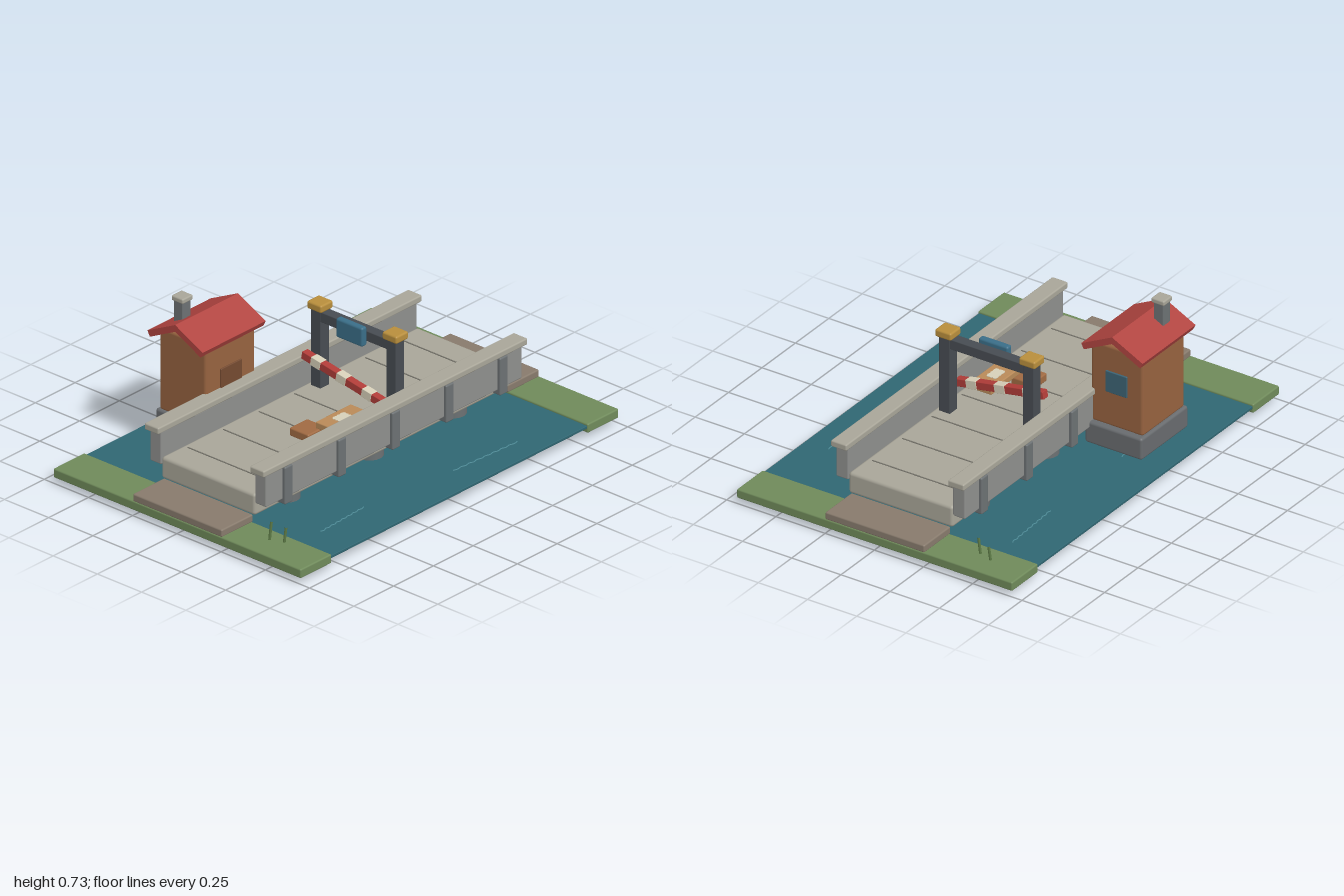
import * as THREE from 'three';
import { RoundedBoxGeometry } from 'three/addons/geometries/RoundedBoxGeometry.js';

const colors = {
  stone: 0xa8a598, wall: 0x8e8f8d, pillar: 0x6c7173, base: 0x686b6e, dark: 0x474c52, joint: 0x77756c,
  earth: 0x877a6c, grass: 0x6f8a5a, water: 0x2f6672, ripple: 0x4d8c98, gold: 0xb88e3c, blue: 0x3a6e88,
  glass: 0x3c6374, red: 0xb03c38, cream: 0xd6cfb8, roof: 0xb04440, wood: 0x96623f, door: 0x744a30,
  crate: 0xa06a42, plank: 0xb98a58, reed: 0x5f7d48,
};
const materials = {};
const mat = (c) => (materials[c] ??= new THREE.MeshStandardMaterial({ color: colors[c] }));

function add(parent, name, geometry, color) {
  const mesh = new THREE.Mesh(geometry, mat(color));
  mesh.name = name;
  parent.add(mesh);
  return mesh;
}

// Softly bevelled box given by its extents on each axis
function block(parent, name, color, [x0, x1], [y0, y1], [z0, z1], radius = 0.007) {
  const size = [x1 - x0, y1 - y0, z1 - z0];
  const r = Math.min(radius, Math.min(...size) * 0.3);
  const mesh = add(parent, name, new RoundedBoxGeometry(...size, 2, r), color);
  mesh.position.set((x0 + x1) / 2, (y0 + y1) / 2, (z0 + z1) / 2);
  return mesh;
}

function group(parent, name) {
  const g = new THREE.Group();
  g.name = name;
  parent.add(g);
  return g;
}

// Thin straight stalk between two points
function stalk(parent, name, color, from, to, radius) {
  const curve = new THREE.LineCurve3(new THREE.Vector3(...from), new THREE.Vector3(...to));
  return add(parent, name, new THREE.TubeGeometry(curve, 1, radius, 6), color);
}

function buildRiver(root) {
  const river = group(root, 'river');
  block(river, 'water', 'water', [-0.93, 0.93], [0.046, 0.06], [-0.695, 0.695], 0.003);
  for (const s of [-1, 1]) {
    const span = (a, b) => (s > 0 ? [a, b] : [-b, -a]);
    block(river, 'bank', 'grass', span(0.805, 1), [0.026, 0.069], [-0.7, 0.7]);
    block(river, 'approachRoad', 'earth', span(0.8, 0.998), [0.066, 0.102], [-0.252, 0.252]);
  }
  // Ripples: start x, z and end x, z
  for (const [x0, z0, x1, z1] of [[-0.67, 0.517, -0.38, 0.5], [0.12, 0.555, 0.5, 0.577],
    [0.4, -0.485, 0.71, -0.502], [-0.45, -0.47, -0.14, -0.48]]) {
    const pts = [];
    for (let i = 0; i <= 16; i++) {
      const t = i / 16;
      pts.push(new THREE.Vector3(x0 + (x1 - x0) * t, 0.061, z0 + (z1 - z0) * t + (i % 2 ? 0.003 : -0.003)));
    }
    add(river, 'ripple', new THREE.TubeGeometry(new THREE.CatmullRomCurve3(pts), 48, 0.003, 5), 'ripple');
  }
  // Reeds: foot x, z, top height and lean
  for (const [x, z, top, lean] of [[-0.88, 0.415, 0.155, 0.008], [-0.857, 0.477, 0.14, 0.008],
    [0.87, -0.452, 0.145, 0.008], [0.89, -0.517, 0.133, 0.008]]) {
    stalk(river, 'reed', 'reed', [x, 0.06, z], [x + 0.004, top, z + lean], 0.006);
  }
}

function buildBridge(root) {
  const bridge = group(root, 'bridge');
  block(bridge, 'deck', 'stone', [-0.805, 0.805], [0.098, 0.2], [-0.265, 0.265], 0.015);
  for (let i = -3; i <= 3; i++) {
    const x = i * 0.223;
    block(bridge, 'deckJoint', 'joint', [x - 0.003, x + 0.003], [0.196, 0.203], [-0.235, 0.235], 0.001);
  }
  for (const x of [-0.523, 0, 0.523]) for (const z of [-0.19, 0.19]) {
    const pier = add(bridge, 'pier', new THREE.CylinderGeometry(0.06, 0.06, 0.12, 20), 'pillar');
    pier.position.set(x, 0.06, z);
  }
  // Parapets with buttresses and coping
  for (const s of [-1, 1]) {
    const span = (a, b) => (s > 0 ? [a, b] : [-b, -a]);
    block(bridge, 'parapet', 'wall', [-0.805, 0.805], [0.16, 0.315], span(0.265, 0.328));
    block(bridge, 'coping', 'stone', [-0.83, 0.83], [0.312, 0.343], span(0.258, 0.338));
    for (let i = -2; i <= 2; i++) {
      const x = i * 0.338;
      block(bridge, 'buttress', 'pillar', [x - 0.025, x + 0.025], [0.138, 0.314], span(0.295, 0.343));
    }
  }
}

function buildGate(root) {
  const gate = group(root, 'gate');
  for (const z of [-0.213, 0.213]) {
    block(gate, 'gatePost', 'dark', [0.108, 0.163], [0.09, 0.565], [z - 0.028, z + 0.028], 0.004);
    block(gate, 'postCap', 'gold', [0.097, 0.175], [0.56, 0.596], [z - 0.041, z + 0.041], 0.009);
  }
  block(gate, 'gateBeam', 'dark', [0.11, 0.16], [0.512, 0.56], [-0.23, 0.23], 0.004);
  block(gate, 'signBoard', 'blue', [0.08, 0.113], [0.492, 0.582], [-0.075, 0.075], 0.012);

  // Sloping striped barrier arm
  const arm = group(gate, 'barrier');
  arm.position.set(0.05, 0.335, -0.002);
  arm.rotation.x = 0.175;
  block(arm, 'barrierArm', 'red', [-0.018, 0.018], [-0.018, 0.018], [-0.226, 0.226], 0.003);
  for (const z of [-0.146, 0, 0.146]) {
    block(arm, 'barrierStripe', 'cream', [-0.02, 0.02], [-0.02, 0.02], [z - 0.027, z + 0.027], 0.002);
  }
}

function buildHut(root) {
  const hut = group(root, 'hut');
  block(hut, 'hutBase', 'base', [-0.475, -0.125], [0.086, 0.19], [-0.594, -0.304], 0.012);
  block(hut, 'hutBody', 'wood', [-0.465, -0.152], [0.185, 0.575], [-0.582, -0.318], 0.014);
  block(hut, 'door', 'door', [-0.375, -0.242], [0.19, 0.432], [-0.33, -0.312], 0.004);
  block(hut, 'window', 'glass', [-0.165, -0.144], [0.352, 0.453], [-0.505, -0.395], 0.003);

  // Gabled roof: chevron section along x
  const section = new THREE.Shape([[0, 0.645], [-0.156, 0.567], [-0.143, 0.541], [0, 0.613],
    [0.143, 0.541], [0.156, 0.567]].map((p) => new THREE.Vector2(...p)));
  const roof = add(hut, 'roof', new THREE.ExtrudeGeometry(section, { depth: 0.396, bevelEnabled: false }), 'roof');
  roof.rotation.y = Math.PI / 2;
  roof.position.set(-0.511, 0, -0.45);

  block(hut, 'chimney', 'pillar', [-0.427, -0.375], [0.57, 0.705], [-0.534, -0.484], 0.004);
  block(hut, 'chimneyCap', 'stone', [-0.434, -0.368], [0.702, 0.726], [-0.542, -0.476]);
}

function buildCargo(root) {
  const cargo = group(root, 'cargo');
  block(cargo, 'crate', 'crate', [-0.3, -0.187], [0.198, 0.237], [0.005, 0.113]);
  block(cargo, 'plankCrate', 'plank', [-0.232, -0.01], [0.237, 0.268], [0.092, 0.203], 0.005);

  // Paper tag with a ragged edge
  const pts = [];
  for (let i = 0; i < 24; i++) {
    const a = (i / 24) * Math.PI * 2;
    const k = (i % 2 ? 0.88 : 1) / Math.max(Math.abs(Math.cos(a)), Math.abs(Math.sin(a)));
    pts.push(new THREE.Vector2(Math.cos(a) * k * 0.04, Math.sin(a) * k * 0.026));
  }
  const tag = add(cargo, 'paperTag',
    new THREE.ExtrudeGeometry(new THREE.Shape(pts), { depth: 0.004, bevelEnabled: false }), 'cream');
  tag.rotation.x = -Math.PI / 2;
  tag.position.set(-0.127, 0.267, 0.148);
}

export function createModel() {
  const root = new THREE.Group();
  root.name = 'bridgeCheckpoint';
  buildRiver(root);
  buildBridge(root);
  buildGate(root);
  buildHut(root);
  buildCargo(root);
  return root;
}
